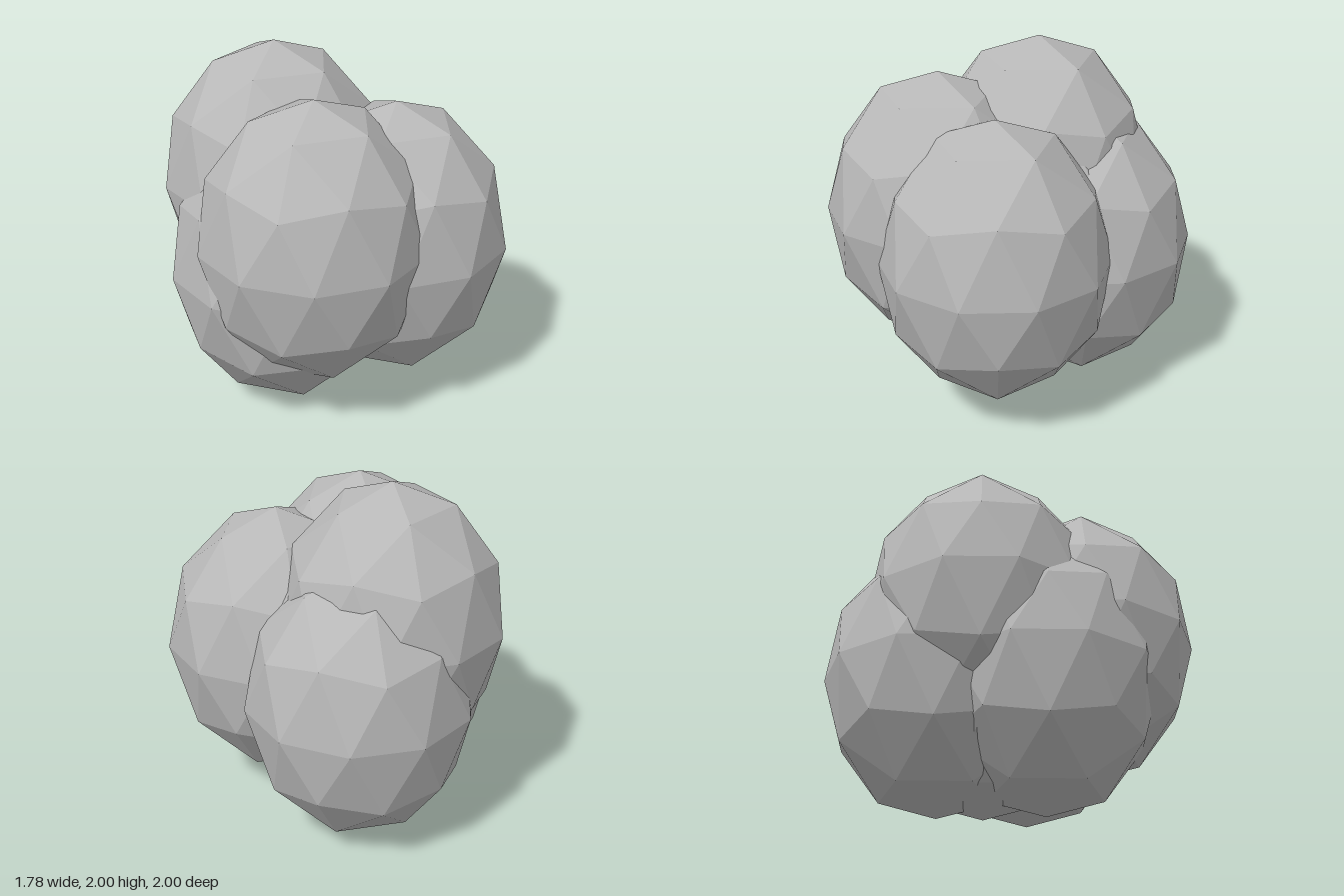
import * as THREE from 'three';

export function createModel() {
  const group = new THREE.Group();
  group.name = 'lobedCluster';
  const grey = new THREE.MeshStandardMaterial({ color: 0xb8b8b8, flatShading: true });
  grey.name = 'stone grey';

  // One low-poly egg: icosphere standing on a pole, stretched upward
  const lobe = new THREE.IcosahedronGeometry(1, 1);
  lobe.rotateX(-Math.atan((1 + Math.sqrt(5)) / 2));
  lobe.rotateY(Math.PI / 2);
  lobe.scale(0.645, 0.803, 0.645);
  lobe.computeVertexNormals();

  // Overlapping lobes: name and centre
  const lobes = [
    ['frontLeftLobe', 0.275, 0.937, 0.352],
    ['frontRightLobe', -0.27, 1.06, 0.33],
    ['topBackLobe', -0.11, 1.197, -0.256],
    ['backLeftLobe', 0.155, 0.823, -0.355],
    ['lowerRightLobe', -0.275, 0.803, 0.06],
    ['coreLobe', 0.05, 0.833, -0.12],
  ];
  for (const [name, x, y, z] of lobes) {
    const mesh = new THREE.Mesh(lobe, grey);
    mesh.name = name;
    mesh.position.set(x, y, z);
    group.add(mesh);
  }
  return group;
}
